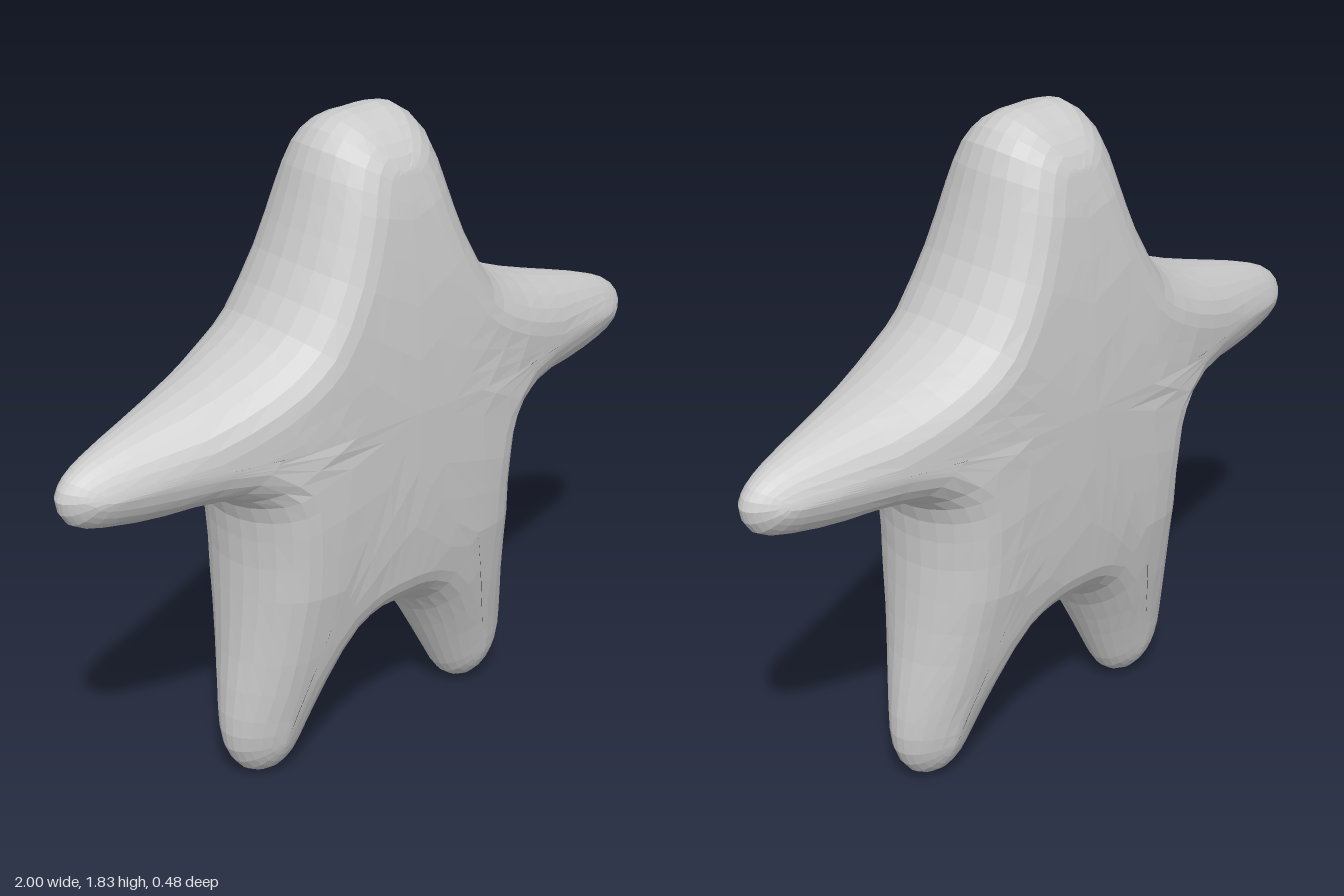
import * as THREE from 'three';
import { mergeVertices } from 'three/addons/utils/BufferGeometryUtils.js';

// Half outline from crown to crotch: edge x, y and the limb-axis point each rib runs to
const HALF = [
  [0, 1.835, 0, 1.68], [0.1, 1.828, 0, 1.68], [0.17, 1.765, 0, 1.66], [0.215, 1.64, 0, 1.58],
  [0.27, 1.49, 0, 1.35], [0.36, 1.345, 0, 1.05], [0.44, 1.29, 0.25, 1.05], [0.57, 1.235, 0.5, 1.05],
  [0.75, 1.18, 0.7, 1.05], [0.9, 1.13, 0.86, 1.05], [0.97, 1.09, 0.9, 1.05], [1, 1.04, 0.9, 1.05],
  [0.97, 0.97, 0.9, 1.05], [0.88, 0.935, 0.86, 1.05], [0.72, 0.915, 0.7, 1.05], [0.57, 0.91, 0.45, 1.05],
  [0.49, 0.875, 0, 1.05], [0.466, 0.77, 0.1, 0.87], [0.47, 0.6, 0.25, 0.6], [0.49, 0.4, 0.31, 0.4],
  [0.515, 0.22, 0.37, 0.2], [0.512, 0.11, 0.39, 0.13], [0.465, 0.03, 0.39, 0.13], [0.39, 0.003, 0.39, 0.13],
  [0.32, 0.04, 0.39, 0.13], [0.27, 0.12, 0.38, 0.165], [0.2, 0.25, 0.33, 0.33], [0.125, 0.365, 0.25, 0.6],
  [0.07, 0.395, 0.1, 0.87], [0, 0.4, 0, 1.05],
];
// Half thickness by height, and its taper along the arms
const BY_Y = [[0, 0.085], [0.05, 0.1], [0.2, 0.128], [0.4, 0.175], [0.6, 0.215], [0.8, 0.233], [1.05, 0.24],
  [1.2, 0.238], [1.4, 0.225], [1.6, 0.2], [1.7, 0.177], [1.84, 0.135]];
const BY_X = [[0, 1], [0.27, 0.985], [0.4, 0.92], [0.55, 0.77], [0.7, 0.6], [0.9, 0.4], [1, 0.3]];
const ROUND = 0.14; // width of the rounded rim

function lookup(table, v) {
  for (let i = 1; i < table.length; i++) {
    const [a, fa] = table[i - 1], [b, fb] = table[i];
    if (v <= b) return fa + (fb - fa) * Math.max(0, (v - a) / (b - a));
  }
  return table[table.length - 1][1];
}

// The right leg stands slightly closer to the middle
const lean = (x, y) => (x < 0 ? x + 0.035 * Math.min(1, Math.max(0, 1 - y / 0.75)) * Math.min(1, -x / 0.15) : x);

function makeRibs() {
  const mirrored = HALF.slice(1, -1).reverse().map(([x, y, sx, sy]) => [lean(-x, y), y, lean(-sx, sy), sy]);
  const pts = [...HALF, ...mirrored], n = pts.length, sub = 2;
  const curve = new THREE.CatmullRomCurve3(pts.map(p => new THREE.Vector3(p[0], p[1], 0)), true);
  const ribs = [];
  for (let i = 0; i < n * sub; i++) {
    const k = Math.floor(i / sub), f = (i % sub) / sub, a = pts[k], b = pts[(k + 1) % n];
    ribs.push({
      edge: curve.getPoint(i / (n * sub)),
      axis: new THREE.Vector3(a[2] + (b[2] - a[2]) * f, a[3] + (b[3] - a[3]) * f, 0),
    });
  }
  return ribs;
}

function makeBody() {
  const ribs = makeRibs(), n = ribs.length, rim = 6, inner = 3, rows = rim + inner + 1;
  const line = new THREE.Line3(), near = new THREE.Vector3();

  const edgeDistance = p => {
    let best = Infinity;
    for (let i = 0; i < n; i++) {
      line.set(ribs[i].edge, ribs[(i + 1) % n].edge).closestPointToPoint(p, true, near);
      best = Math.min(best, near.distanceTo(p));
    }
    return best;
  };

  // Rounded height over the outline plane
  const height = p => {
    const s = 1 - Math.min(1, edgeDistance(p) / ROUND);
    return lookup(BY_Y, p.y) * lookup(BY_X, Math.abs(p.x)) * Math.sqrt(Math.max(0, 1 - s * s));
  };

  const pos = [], index = [], half = n * rows;
  for (const side of [1, -1]) {
    for (const { edge, axis } of ribs) {
      const length = edge.distanceTo(axis), r = Math.min(ROUND, length * 0.85);
      for (let j = 0; j < rows; j++) {
        const d = j <= rim ? r * (1 - Math.cos(j / rim * Math.PI / 2)) : r + (length - r) * (j - rim) / inner;
        const p = edge.clone().lerp(axis, d / length);
        pos.push(p.x, p.y, j === 0 ? 0 : side * height(p));
      }
    }
  }
  for (let i = 0; i < n; i++) {
    for (let j = 0; j < rows - 1; j++) {
      const a = i * rows + j, b = a + 1, c = ((i + 1) % n) * rows + j, d = c + 1;
      index.push(a, b, c, c, b, d);
      index.push(a + half, c + half, b + half, c + half, d + half, b + half);
    }
  }
  const geometry = new THREE.BufferGeometry();
  geometry.setAttribute('position', new THREE.Float32BufferAttribute(pos, 3));
  geometry.setIndex(index);
  const merged = mergeVertices(geometry, 1e-4);
  merged.computeVertexNormals();
  return merged;
}

export function createModel() {
  const group = new THREE.Group();
  group.name = 'starFigure';
  const body = new THREE.Mesh(makeBody(), new THREE.MeshStandardMaterial({ color: 0xcccccc, flatShading: true }));
  body.name = 'body';
  group.add(body);
  return group;
}
